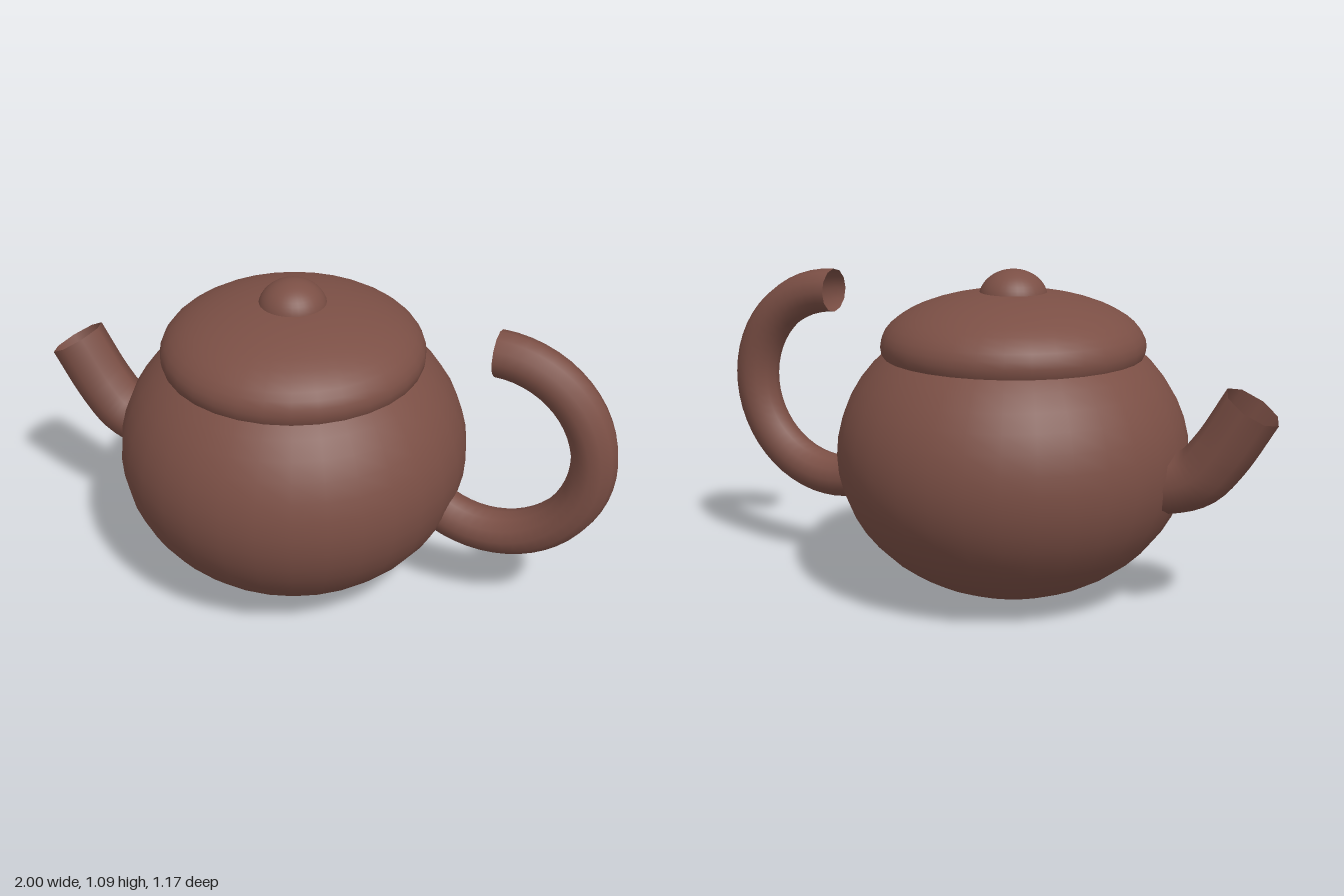
import * as THREE from 'three';

const CENTRE_X = -0.1; // axis of the pot, lid and knob

export function createModel() {
  const group = new THREE.Group();
  const clay = new THREE.MeshStandardMaterial({ color: 0x7b4f45, side: THREE.DoubleSide });

  function add(name, geometry, x = 0, y = 0) {
    const mesh = new THREE.Mesh(geometry, clay);
    mesh.name = name;
    mesh.position.set(x, y, 0);
    group.add(mesh);
    return mesh;
  }

  // Flattened sphere on the pot's axis
  function dome(name, radius, halfHeight, y) {
    const geometry = new THREE.SphereGeometry(radius, 32, 24);
    geometry.scale(1, halfHeight / radius, 1);
    return add(name, geometry, CENTRE_X, y);
  }

  dome('body', 0.583, 0.483, 0.487);
  dome('lid', 0.436, 0.18, 0.845);
  dome('knob', 0.113, 0.095, 0.998);

  // Open spout, rising out of the side of the body
  const spoutPath = new THREE.CatmullRomCurve3([
    [-0.52, 0.43], [-0.64, 0.438], [-0.745, 0.475], [-0.82, 0.557], [-0.92, 0.718],
  ].map(([x, y]) => new THREE.Vector3(x, y, 0)));
  add('spout', new THREE.TubeGeometry(spoutPath, 20, 0.098, 8, false));

  // Open hook handle: from inside the body, round to its free end at the top
  const sweep = THREE.MathUtils.degToRad(215);
  const handle = add('handle', new THREE.TorusGeometry(0.331, 0.075, 12, 32, sweep), 0.591, 0.645);
  handle.rotation.z = Math.PI / 2 - sweep;

  return group;
}
